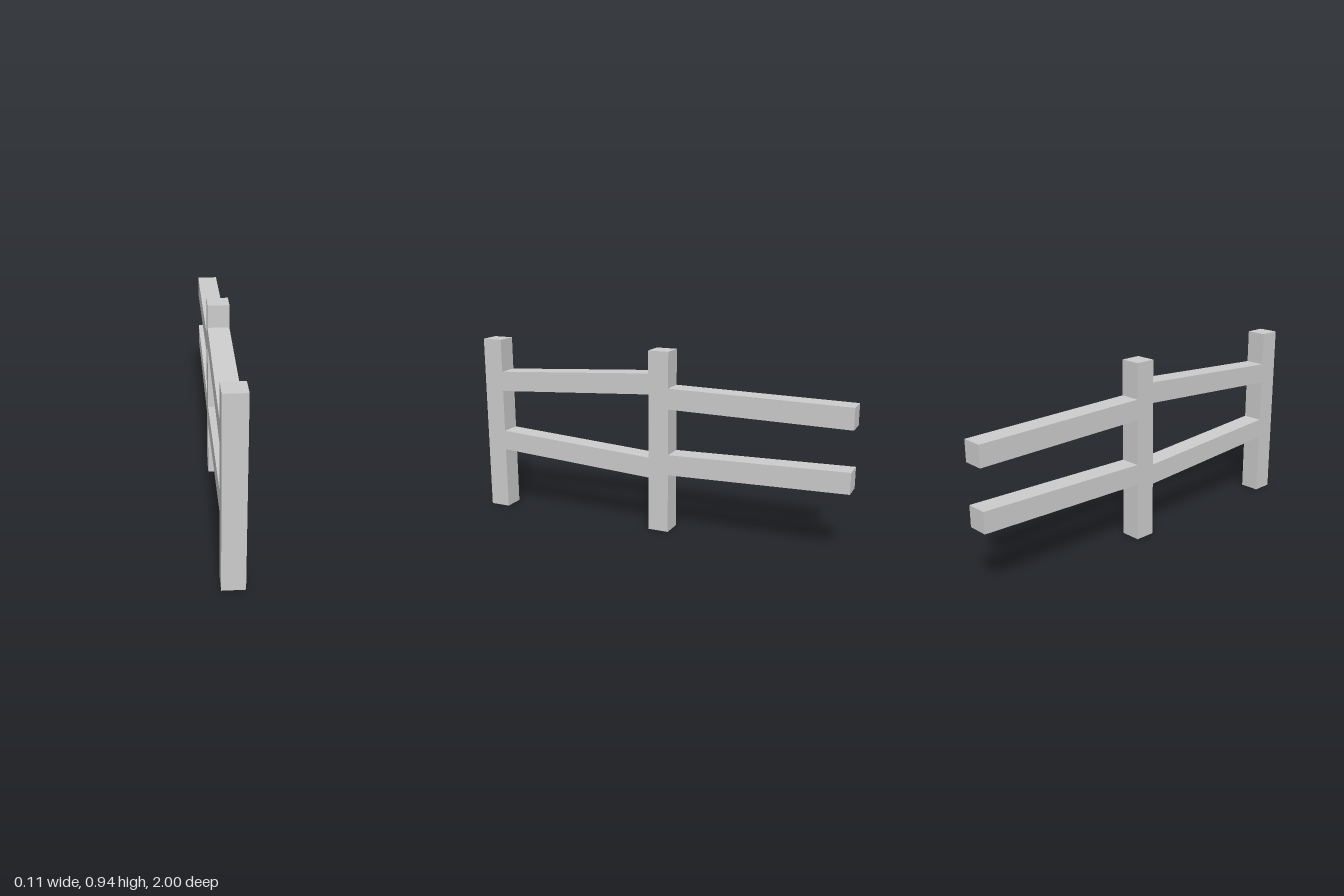
import * as THREE from 'three';

const WIDTH = 0.107;
const POST_HEIGHT = 0.935;
const FRONT_POST = [0.892, 1];
const MIDDLE_POST = [-0.083, 0.025];
const BACK_END = -1;

const material = new THREE.MeshStandardMaterial({ color: 0xcccccc, flatShading: true });

function addMesh(group, name, geometry) {
  const mesh = new THREE.Mesh(geometry, material);
  mesh.name = name;
  group.add(mesh);
}

// Square post standing on the ground between two z positions
function addPost(group, name, [z0, z1]) {
  const geometry = new THREE.BoxGeometry(WIDTH, POST_HEIGHT, z1 - z0);
  geometry.translate(0, POST_HEIGHT / 2, (z0 + z1) / 2);
  addMesh(group, name, geometry);
}

// Sloping rail with vertical ends: a box sheared from height yA at zA to yB at zB
function addRail(group, name, zA, yA, zB, yB) {
  const geometry = new THREE.BoxGeometry(WIDTH, 0.106, zA - zB);
  geometry.translate(0, 0, (zA + zB) / 2);
  const p = geometry.attributes.position;
  for (let i = 0; i < p.count; i++) {
    const t = (zA - p.getZ(i)) / (zA - zB);
    p.setY(i, p.getY(i) + yA + (yB - yA) * t);
  }
  geometry.computeVertexNormals();
  addMesh(group, name, geometry);
}

export function createModel() {
  const fence = new THREE.Group();
  fence.name = 'fence';

  // Posts
  addPost(fence, 'frontPost', FRONT_POST);
  addPost(fence, 'middlePost', MIDDLE_POST);

  // Rails between the posts
  addRail(fence, 'frontUpperRail', FRONT_POST[0], 0.71, MIDDLE_POST[1], 0.767);
  addRail(fence, 'frontLowerRail', FRONT_POST[0], 0.382, MIDDLE_POST[1], 0.333);

  // Rails running free behind the middle post
  addRail(fence, 'backUpperRail', MIDDLE_POST[0], 0.7, BACK_END, 0.69);
  addRail(fence, 'backLowerRail', MIDDLE_POST[0], 0.359, BACK_END, 0.384);

  return fence;
}
